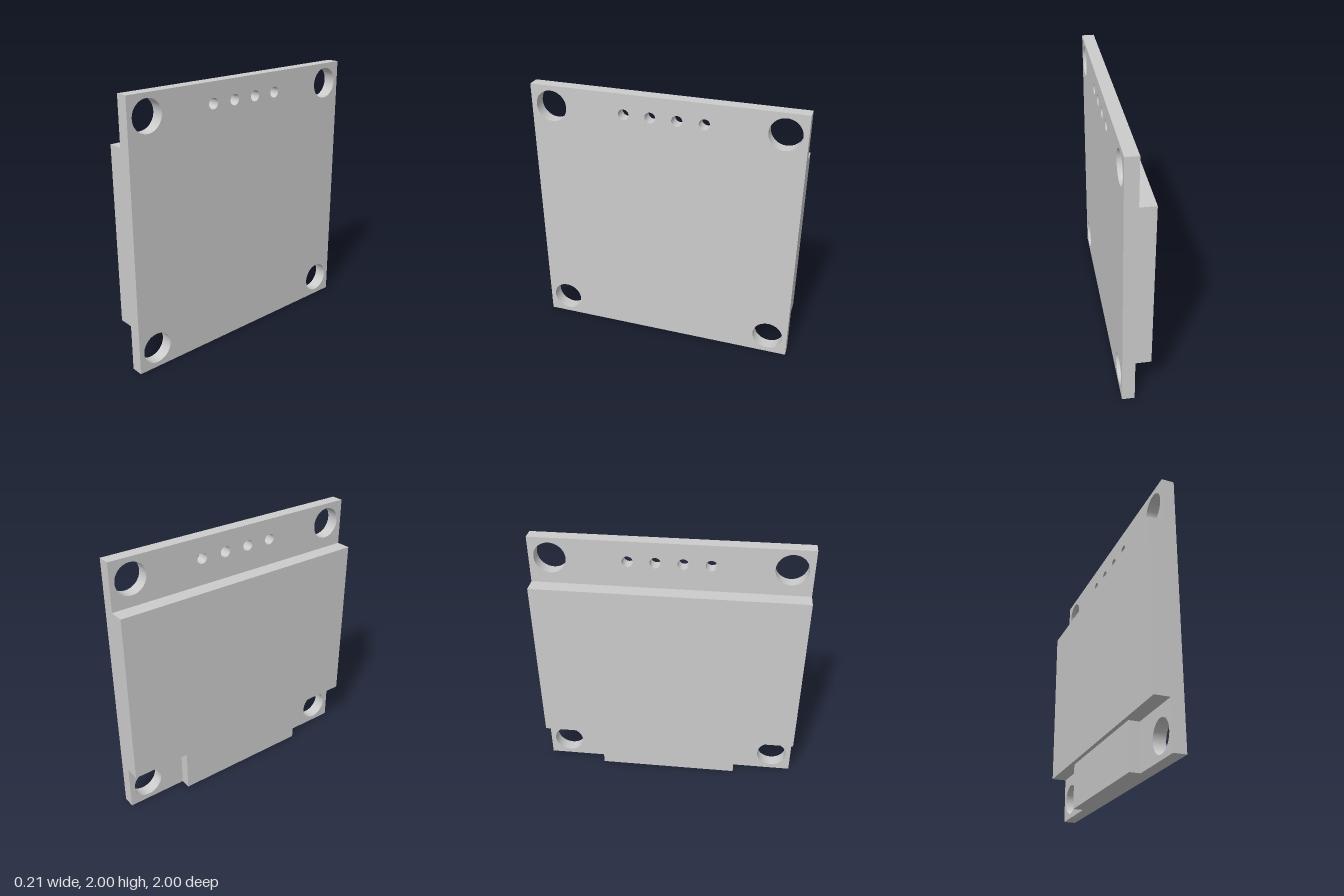
import * as THREE from 'three';

export function createModel() {
  const model = new THREE.Group();
  model.name = 'displayModule';
  const material = new THREE.MeshStandardMaterial({ color: 0xcccccc });

  const add = (name, geometry) => {
    const mesh = new THREE.Mesh(geometry, material);
    mesh.name = name;
    model.add(mesh);
  };
  // Box given by its limits along each axis
  const block = (name, [x0, x1], [y0, y1], [z0, z1]) =>
    add(name, new THREE.BoxGeometry(x1 - x0, y1 - y0, z1 - z0)
      .translate((x0 + x1) / 2, (y0 + y1) / 2, (z0 + z1) / 2));

  const front = 0.103, seam = 0.01;

  // Circuit board: square plate with drilled holes
  const outline = new THREE.Shape([
    new THREE.Vector2(-1, 0), new THREE.Vector2(1, 0),
    new THREE.Vector2(1, 2), new THREE.Vector2(-1, 2),
  ]);
  const drill = (z, y, radius) =>
    outline.holes.push(new THREE.Path().absarc(z, y, radius, 0, Math.PI * 2, true));

  // Mounting holes in the corners
  for (const z of [-0.847, 0.847]) for (const y of [0.153, 1.847]) drill(z, y, 0.116);
  // Row of pin holes
  for (let i = 0; i < 4; i++) drill((i - 1.5) * 0.196, 1.847, 0.04);

  const board = new THREE.ExtrudeGeometry(outline, {
    depth: front - seam, bevelEnabled: false, curveSegments: 32,
  });
  add('circuitBoard', board.rotateY(Math.PI / 2).translate(seam, 0, 0));

  // Display panel and the ribbon connector below it
  block('displayPanel', [-front, seam], [0.35, 1.65], [-1, 1]);
  block('ribbonConnector', [-0.07, seam], [0, 0.35], [-0.54, 0.54]);

  return model;
}
